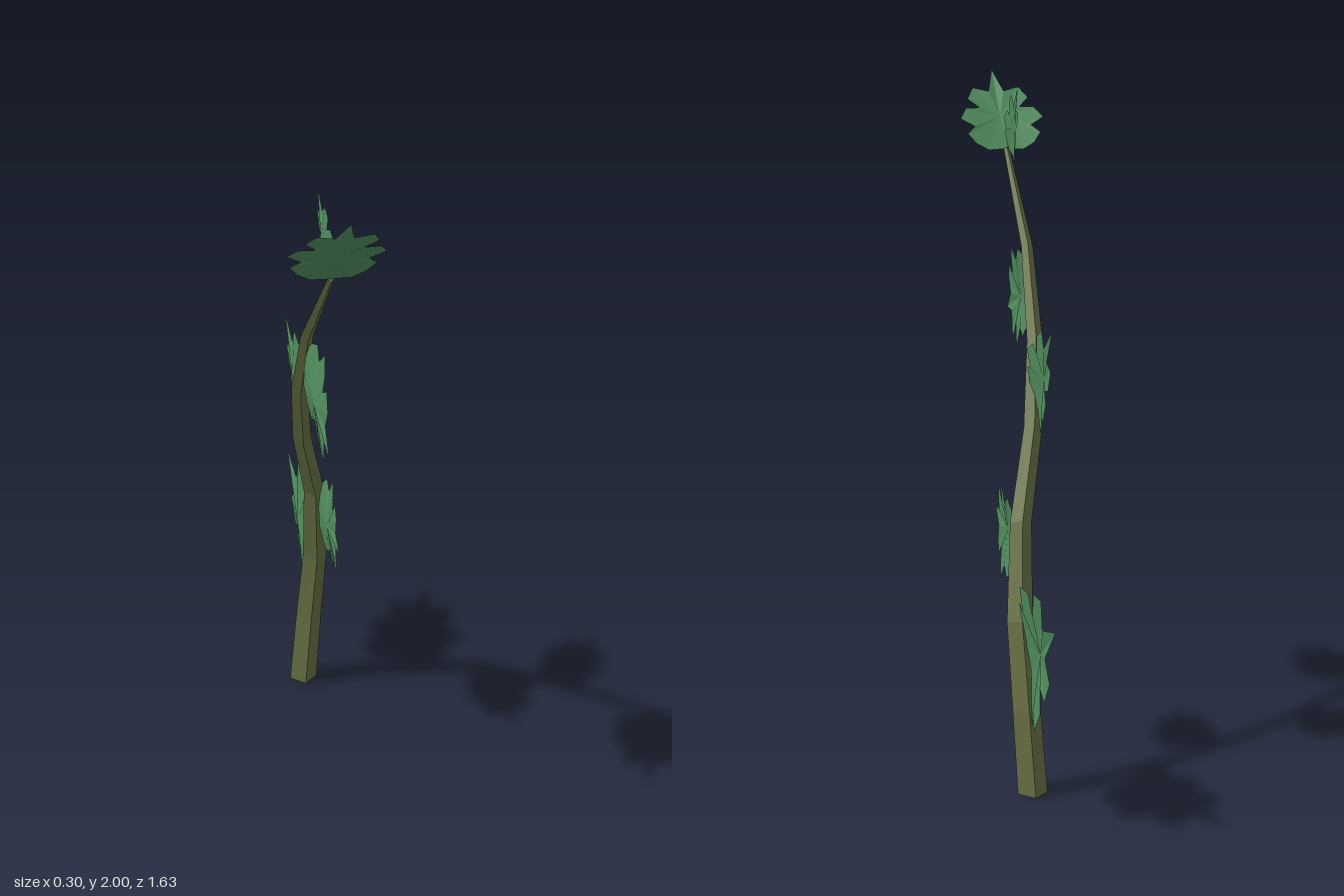
import * as THREE from 'three';

const stemMaterial = new THREE.MeshStandardMaterial({ color: 0x666f42, flatShading: true });
const leafMaterial = new THREE.MeshStandardMaterial({ color: 0x4f8a5c, flatShading: true, side: THREE.DoubleSide });

function geometryFrom(positions, index) {
  const geometry = new THREE.BufferGeometry();
  geometry.setAttribute('position', new THREE.Float32BufferAttribute(positions, 3));
  geometry.setIndex(index);
  geometry.computeVertexNormals();
  return geometry;
}

// Stem stations: x, y, z, radius
const STATIONS = [
  [0.085, 0, -0.373, 0.044],
  [0.098, 0.25, -0.348, 0.041],
  [0.107, 0.5, -0.295, 0.038],
  [0.085, 0.77, -0.2, 0.032],
  [0.02, 1.02, -0.06, 0.028],
  [-0.018, 1.25, 0.1, 0.024],
  [-0.037, 1.5, 0.31, 0.018],
  [-0.027, 1.77, 0.585, 0.009],
];

// Four-sided tapering stem, closed at both ends
function createStem() {
  const points = STATIONS.map(([x, y, z]) => new THREE.Vector3(x, y, z));
  const positions = [], index = [];
  const last = points.length - 1;
  points.forEach((p, i) => {
    const r = STATIONS[i][3];
    const t = points[Math.min(i + 1, last)].clone().sub(points[Math.max(i - 1, 0)]);
    if (i === 0) t.set(0, 1, 0);
    const front = new THREE.Vector3(0, -t.z, t.y).normalize();
    for (let k = 0; k < 4; k++) {
      const a = k * Math.PI / 2;
      const v = p.clone().addScaledVector(front, r * Math.cos(a));
      v.x += r * Math.sin(a);
      positions.push(v.x, v.y, v.z);
      if (i < last) {
        const a0 = i * 4 + k, b0 = i * 4 + (k + 1) % 4;
        index.push(a0, b0, b0 + 4, a0, b0 + 4, a0 + 4);
      }
    }
  });
  const e = last * 4;
  index.push(0, 2, 1, 0, 3, 2, e, e + 1, e + 2, e, e + 2, e + 3);
  const mesh = new THREE.Mesh(geometryFrom(positions, index), stemMaterial);
  mesh.name = 'stem';
  return mesh;
}

// Half outline of a lobed leaf of length 1: along, across, is a notch
const HALF_LEAF = [
  [0.705, 0.075, 1], [0.755, 0.228, 0], [0.603, 0.302, 0], [0.49, 0.2, 1],
  [0.478, 0.336, 0], [0.33, 0.41, 0], [0.245, 0.28, 1], [0.155, 0.36, 0],
  [0.045, 0.285, 0], [-0.02, 0.17, 0],
];

// Cupped leaf: a fan of facets around the point where the veins meet
function createLeaf(name, base, tip, facing) {
  const origin = new THREE.Vector3(...base);
  const along = new THREE.Vector3(...tip).sub(origin);
  const length = along.length();
  along.normalize();
  const normal = new THREE.Vector3(...facing);
  normal.addScaledVector(along, -normal.dot(along)).normalize();
  const across = normal.clone().cross(along);

  const mirrored = HALF_LEAF.map(([u, v, n]) => [u, -v, n]).reverse();
  const outline = [[1, 0, 0], ...HALF_LEAF, [0, 0, 0], ...mirrored];
  const positions = [], index = [];
  [[0.4, 0, 0], ...outline].forEach(([u, v, notch]) => {
    const lift = 0.4 * v * v + (notch ? 0.02 : 0);
    const p = origin.clone()
      .addScaledVector(along, u * length)
      .addScaledVector(across, v * length)
      .addScaledVector(normal, lift * length);
    positions.push(p.x, p.y, p.z);
  });
  for (let i = 0; i < outline.length; i++) index.push(0, i + 1, (i + 1) % outline.length + 1);
  const mesh = new THREE.Mesh(geometryFrom(positions, index), leafMaterial);
  mesh.name = name;
  return mesh;
}

export function createModel() {
  const group = new THREE.Group();
  group.name = 'leafyBranch';
  group.add(createStem());

  // Alternating leaves up the stem, then the end leaf
  const side = [1, 0, 0];
  const leaves = [
    ['lowestLeaf', [0.09, 0.381, -0.374], [0.113, 0.632, -0.813], side],
    ['secondLeaf', [0.098, 0.705, -0.19], [0.092, 0.726, 0.16], side],
    ['thirdLeaf', [0.005, 1.07, -0.06], [0.008, 1.346, -0.273], side],
    ['fourthLeaf', [-0.035, 1.377, 0.257], [-0.035, 1.26, 0.622], side],
    ['fifthLeaf', [-0.035, 1.754, 0.527], [-0.032, 1.976, 0.426], side],
    ['endLeaf', [-0.025, 1.77, 0.585], [-0.022, 2.0, 0.813], [0, 1, -1]],
  ];
  for (const leaf of leaves) group.add(createLeaf(...leaf));
  return group;
}
